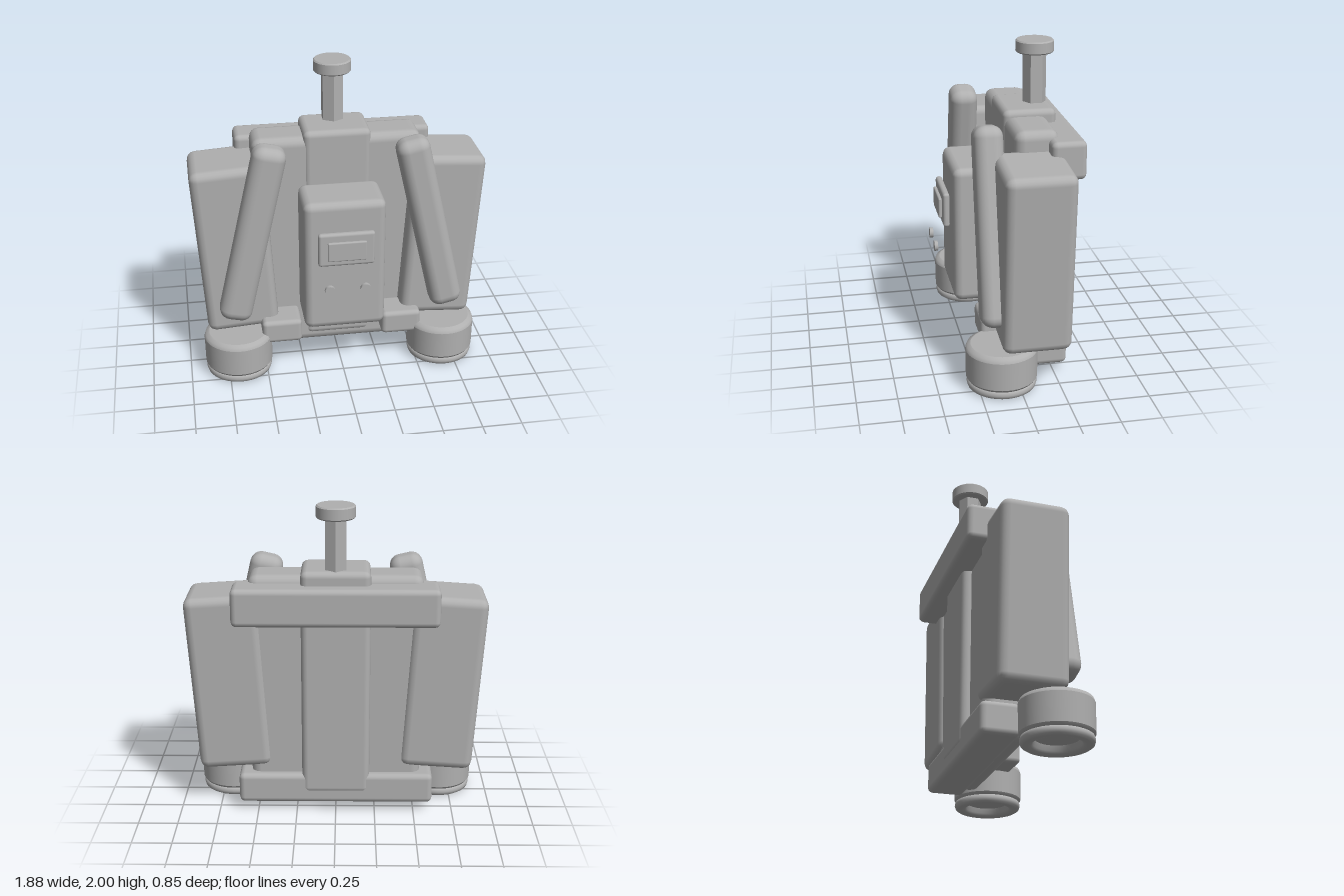
import * as THREE from 'three';
import { RoundedBoxGeometry } from 'three/addons/geometries/RoundedBoxGeometry.js';

export function createModel() {
  const model = new THREE.Group();
  const grey = new THREE.MeshStandardMaterial({ color: 0xb0b0b0 });
  grey.name = 'plain grey';

  function add(name, geometry, x, y, z) {
    const mesh = new THREE.Mesh(geometry, grey);
    mesh.name = name;
    mesh.position.set(x, y, z);
    model.add(mesh);
    return mesh;
  }

  // Rounded block given by its lower and upper limits on each axis
  function block(name, [x0, x1], [y0, y1], [z0, z1], radius) {
    const geometry = new RoundedBoxGeometry(x1 - x0, y1 - y0, z1 - z0, 2, radius);
    return add(name, geometry, (x0 + x1) / 2, (y0 + y1) / 2, (z0 + z1) / 2);
  }

  function lathe(points, segments = 40) {
    return new THREE.LatheGeometry(points.map(([r, y]) => new THREE.Vector2(r, y)), segments);
  }

  // Frame
  block('backPlate', [-0.54, 0.54], [0.07, 1.565], [-0.28, -0.01], 0.06);
  block('spine', [-0.215, 0.215], [0.13, 1.605], [-0.335, 0], 0.04);
  block('upperBeam', [-0.635, 0.635], [1.28, 1.52], [-0.425, -0.21], 0.035);
  block('lowerBeam', [-0.62, 0.62], [0.06, 0.26], [-0.33, -0.09], 0.035);

  // Chest unit with its floating panel
  block('chestUnit', [-0.26, 0.26], [0.37, 1.26], [-0.02, 0.32], 0.05);
  block('displayFrame', [-0.178, 0.178], [0.855, 1.08], [0.333, 0.375], 0.018);
  block('displayScreen', [-0.122, 0.122], [0.9, 1.03], [0.374, 0.397], 0.009);

  // Mast and cap
  const mast = new THREE.CylinderGeometry(0.075, 0.075, 0.36, 6).toNonIndexed();
  mast.computeVertexNormals();
  add('mast', mast, 0, 1.76, -0.238);
  add('mastCap', lathe([
    [0, 0], [0.112, 0], [0.112, 0], [0.12, 0.008], [0.12, 0.008],
    [0.12, 0.072], [0.12, 0.072], [0.112, 0.08], [0.112, 0.08], [0, 0.08],
  ]), 0, 1.92, -0.238);

  // Thruster: rounded body, groove, bottom rim and recessed underside
  const thrusterBody = lathe([
    [0.19, 0.05], [0.21, 0.055], [0.22, 0.07], [0.22, 0.07], [0.222, 0.25],
    [0.222, 0.25], [0.214, 0.272], [0.19, 0.283], [0.19, 0.283], [0, 0.283],
  ]);
  const thrusterRim = lathe([
    [0, 0.05], [0.13, 0.05], [0.13, 0.05], [0.14, 0.02], [0.15, 0.006], [0.17, 0],
    [0.195, 0], [0.21, 0.01], [0.216, 0.03], [0.21, 0.05], [0.19, 0.06],
  ]);

  // Paired parts
  for (const side of [-1, 1]) {
    const label = side > 0 ? 'left' : 'right';

    const tank = add(label + 'Tank', new RoundedBoxGeometry(0.465, 1.14, 0.425, 2, 0.055),
      side * 0.674, 0.862, -0.09);
    tank.rotation.z = -side * 0.065;

    const arm = add(label + 'Arm', new RoundedBoxGeometry(0.212, 1.215, 0.18, 3, 0.07),
      side * 0.568, 1.002, 0.145);
    arm.rotation.z = side * 0.225;

    const xs = [side * 0.265, side * 0.525].sort((a, b) => a - b);
    block(label + 'Bracket', xs, [0.21, 0.37], [-0.02, 0.2], 0.03);

    add(label + 'ThrusterBody', thrusterBody, side * 0.68, 0, 0.1);
    add(label + 'ThrusterRim', thrusterRim, side * 0.68, 0, 0.1);

    const button = add(label + 'Button', new THREE.CylinderGeometry(0.033, 0.033, 0.022, 24),
      side * 0.113, 0.71, 0.418);
    button.rotation.x = Math.PI / 2;
  }

  return model;
}
